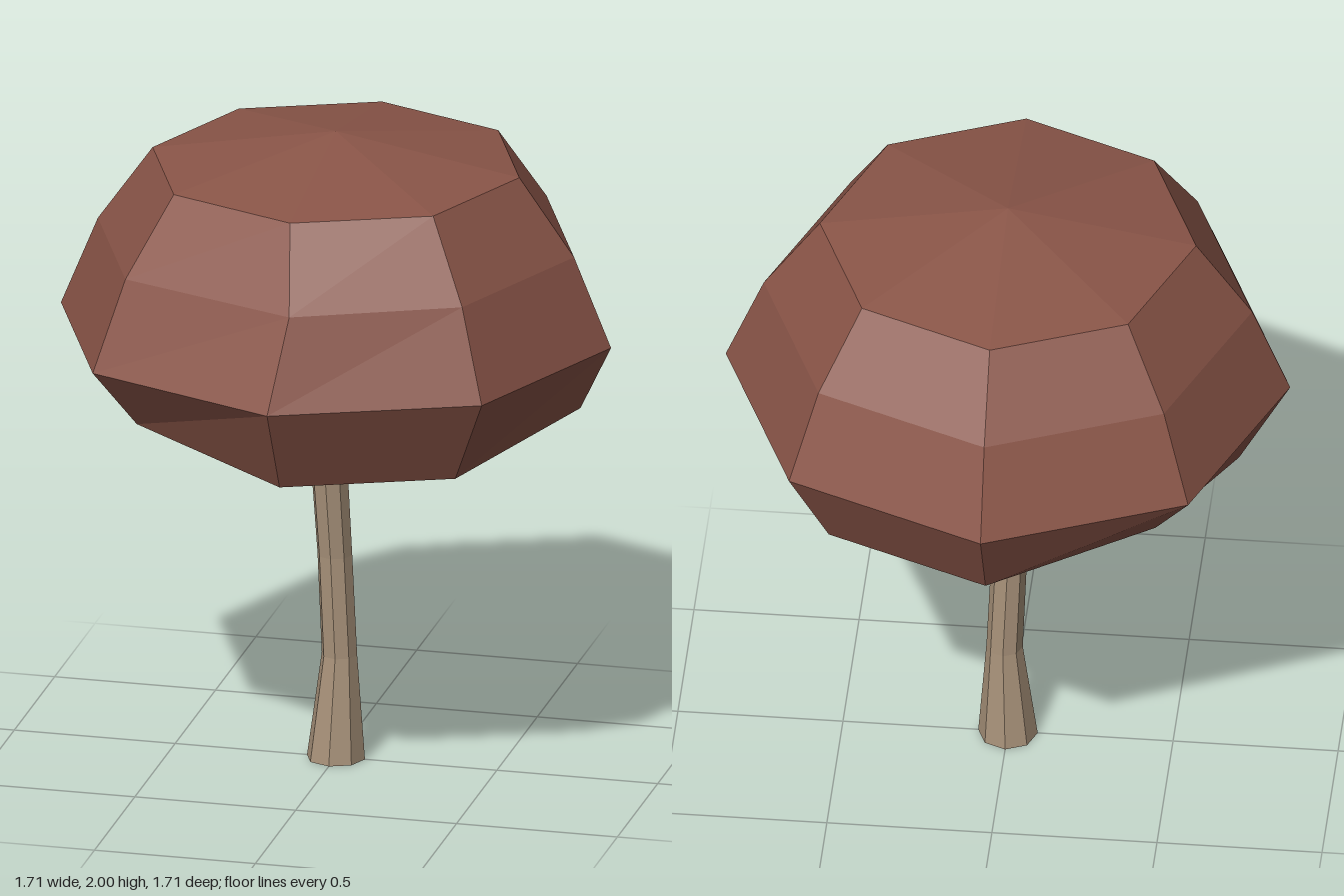
import * as THREE from 'three';

const SIDES = 8;

// Skins rings [radius, y, centreX, centreZ] listed from the top along the surface;
// radius 0 closes an end. adjust(point, ring, side) nudges single corners.
function ringMesh(name, color, rings, adjust = () => {}) {
  const corner = (i, j) => {
    const [r, y, cx = 0, cz = 0] = rings[i];
    const a = ((j % SIDES) / SIDES) * Math.PI * 2;
    const p = new THREE.Vector3(cx + r * Math.cos(a), y, cz + r * Math.sin(a));
    adjust(p, i, j % SIDES);
    return p;
  };
  const points = [];
  for (let i = 0; i < rings.length - 1; i++) {
    for (let j = 0; j < SIDES; j++) {
      const a = corner(i, j), b = corner(i, j + 1);
      const c = corner(i + 1, j + 1), d = corner(i + 1, j);
      if (rings[i][0] > 0) points.push(a, b, c);
      if (rings[i + 1][0] > 0) points.push(a, c, d);
      else if (rings[i][0] > 0 && i < rings.length - 1) continue;
    }
  }
  const geometry = new THREE.BufferGeometry().setFromPoints(points);
  geometry.computeVertexNormals();
  const mesh = new THREE.Mesh(geometry, new THREE.MeshStandardMaterial({ color, flatShading: true }));
  mesh.name = name;
  return mesh;
}

export function createModel() {
  const group = new THREE.Group();
  group.name = 'mushroom';

  // Hollow cap: outer dome, rim, then the inner wall back up to the ceiling
  const capRings = [
    [0, 2], [0.57, 1.9], [0.74, 1.66], [0.855, 1.38],
    [0.7, 1.1],
    [0.62, 1.235], [0.565, 1.66], [0.42, 1.8], [0, 1.85],
  ];
  const RIM = 4;
  const rimLift = { 0: 0.08, 3: 0.09, 5: 0.1 };
  group.add(ringMesh('cap', 0x8a5548, capRings, (p, i, j) => {
    // Uneven rim
    if (i === RIM || i === RIM + 1) p.y += (rimLift[j] || 0) * (i === RIM ? 1 : 0.7);
    if (i === RIM && j === 0) p.x += 0.06;
    // One skewed corner at the front of the dome
    if (i === 2 && j === 2) p.x += 0.04;
  }));

  // Crooked stem with a flared foot
  group.add(ringMesh('stem', 0xa8927a, [
    [0, 1.82, 0.02, -0.02], [0.055, 1.82, 0.02, -0.02],
    [0.055, 1.3, 0.015, -0.012], [0.057, 0.97, -0.016, 0.027],
    [0.054, 0.65, -0.003, 0.002], [0.055, 0.33, 0.01, -0.003],
    [0.09, 0], [0, 0],
  ]));

  return group;
}
